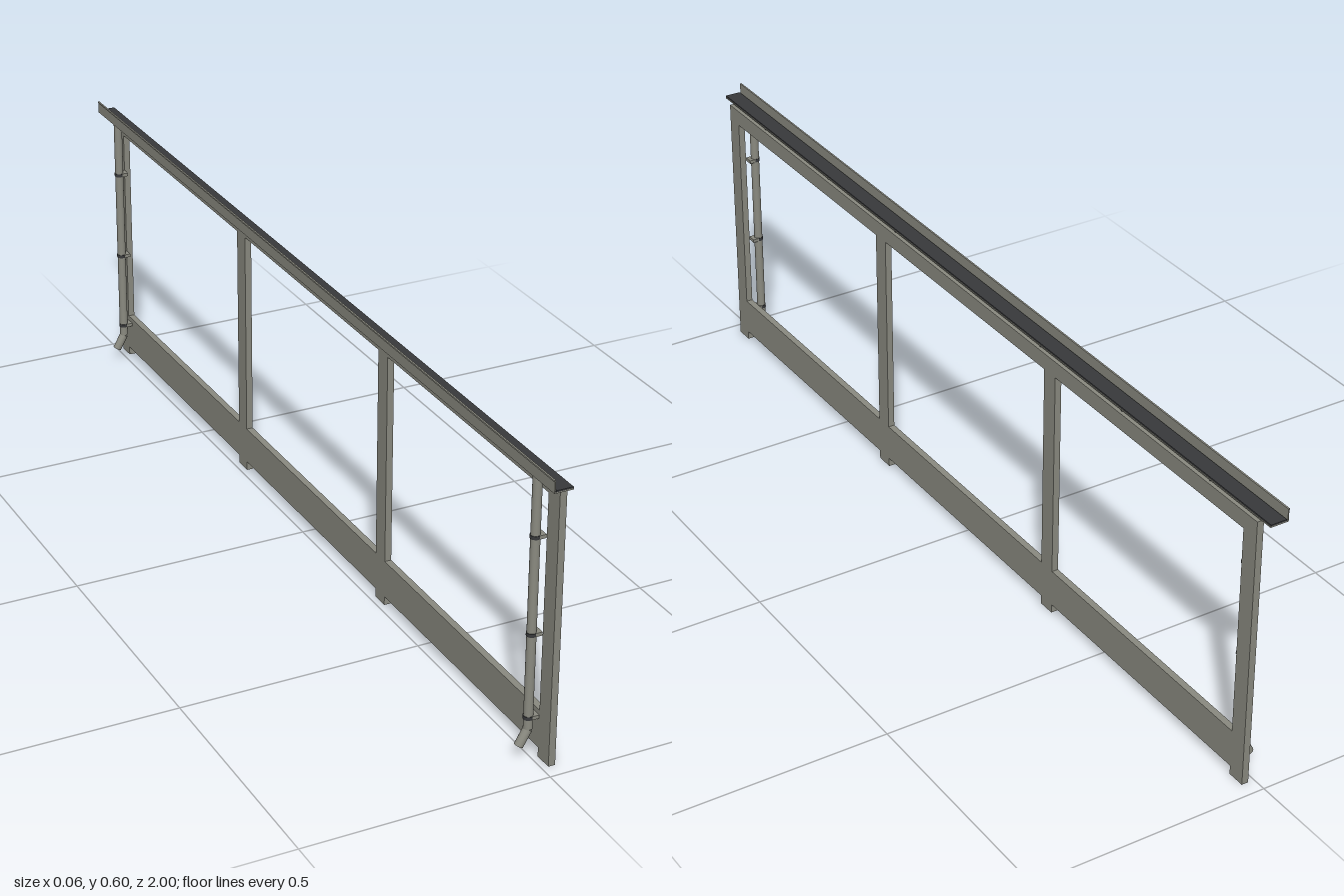
import * as THREE from 'three';

export function createModel() {
  const root = new THREE.Group();
  const steel = new THREE.MeshStandardMaterial({ name: 'grey steel', color: 0x8a8a80 });
  const dark = new THREE.MeshStandardMaterial({ name: 'dark metal', color: 0x38393b });

  const add = (parent, name, geometry, material) => {
    const mesh = new THREE.Mesh(geometry, material);
    mesh.name = name;
    parent.add(mesh);
    return mesh;
  };
  // Box given by its lower and upper limits on each axis
  const box = (parent, name, [x0, x1], [y0, y1], [z0, z1], material = steel) => {
    const mesh = add(parent, name, new THREE.BoxGeometry(x1 - x0, y1 - y0, z1 - z0), material);
    mesh.position.set((x0 + x1) / 2, (y0 + y1) / 2, (z0 + z1) / 2);
    return mesh;
  };

  // Frame: one flat outline with three openings, extruded to its thickness
  const frameX = [0.0135, 0.0275];
  const rect = (path, a0, b0, a1, b1) =>
    path.moveTo(a0, b0).lineTo(a1, b0).lineTo(a1, b1).lineTo(a0, b1).closePath();
  const outline = rect(new THREE.Shape(), -0.97, 0.019, 0.97, 0.574);
  for (const [a, b] of [[-0.932, -0.335], [-0.297, 0.297], [0.335, 0.932]]) {
    outline.holes.push(rect(new THREE.Path(), a, 0.098, b, 0.54));
  }
  const frameGeometry = new THREE.ExtrudeGeometry(outline, { depth: 0.014, bevelEnabled: false });
  frameGeometry.rotateY(Math.PI / 2).translate(frameX[0], 0, 0);
  add(root, 'frame', frameGeometry, steel);

  // Feet below each post
  for (const z of [-0.951, -0.316, 0.316, 0.951]) {
    box(root, 'foot', frameX, [0, 0.019], [z - 0.019, z + 0.019]);
  }

  // Gutter angle: upstand, flange and dark top strip
  const gutter = new THREE.Group();
  gutter.name = 'gutter';
  root.add(gutter);
  box(gutter, 'upstand', [-0.0165, -0.0145], [0.577, 0.603], [-1, 1]);
  box(gutter, 'upstandLip', [-0.018, -0.0165], [0.6, 0.603], [-1, 1]);
  box(gutter, 'flange', [-0.0145, 0.022], [0.577, 0.5795], [-1, 1]);
  box(gutter, 'topStrip', [-0.0125, 0.021], [0.5795, 0.5825], [-1, 1], dark);
  for (const z of [0.27, 0.545, 0.82]) {
    for (const side of [-1, 1]) {
      const bolt = add(gutter, 'bolt', new THREE.CylinderGeometry(0.003, 0.003, 0.004, 12), dark);
      bolt.position.set(0.018, 0.5755, side * z);
    }
  }

  // Downpipes with angled spouts and clamps, one at each end
  const pipeX = -0.0036;
  const radius = 0.009;
  for (const side of [-1, 1]) {
    const downpipe = new THREE.Group();
    downpipe.name = 'downpipe';
    downpipe.position.set(pipeX, 0, side * 0.922);
    root.add(downpipe);

    const pipe = add(downpipe, 'pipe', new THREE.CylinderGeometry(radius, radius, 0.514, 32), steel);
    pipe.position.y = 0.317;

    const spout = add(downpipe, 'spout', new THREE.CylinderGeometry(radius, radius, 0.036, 32), steel);
    spout.position.set(-0.009, 0.0428, 0);
    spout.rotation.z = -Math.PI / 6;

    for (const y of [0.084, 0.257, 0.454]) {
      const ring = add(downpipe, 'clampRing', new THREE.CylinderGeometry(0.0101, 0.0101, 0.007, 32), dark);
      ring.position.y = y;
      box(downpipe, 'clampArm', [0.0036, frameX[0] - pipeX], [y - 0.0036, y + 0.0036], [-0.0098, 0.0098]);
    }
  }
  return root;
}
